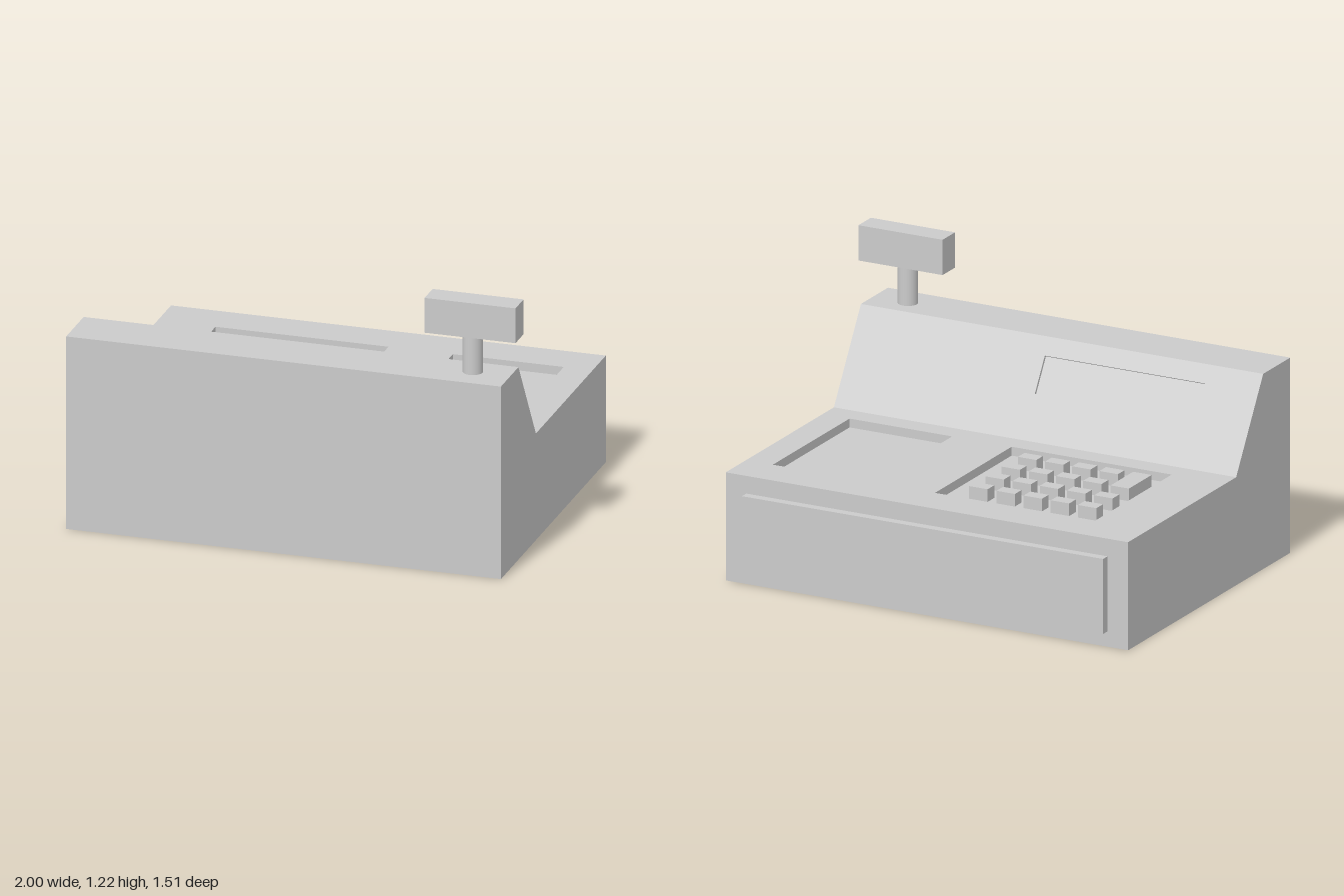
import * as THREE from 'three';
import { mergeGeometries } from 'three/addons/utils/BufferGeometryUtils.js';

const material = new THREE.MeshStandardMaterial({ color: 0xcccccc });
const V = (x, y, z) => new THREE.Vector3(x, y, z);
const X0 = -1, X1 = 0.96; // body sides
const DECK = 0.49, RECESS = 0.04;

function addMesh(parent, name, geometry) {
  const mesh = new THREE.Mesh(geometry, material);
  mesh.name = name;
  parent.add(mesh);
  return mesh;
}

// Box given by its limits on each axis
function addBox(parent, name, [x0, x1], [y0, y1], [z0, z1]) {
  const mesh = addMesh(parent, name, new THREE.BoxGeometry(x1 - x0, y1 - y0, z1 - z0));
  mesh.position.set((x0 + x1) / 2, (y0 + y1) / 2, (z0 + z1) / 2);
}

function rectangle(Type, x0, x1, u0, u1) {
  return new Type([[x0, u0], [x1, u0], [x1, u1], [x0, u1]].map(p => new THREE.Vector2(...p)));
}

// Inward-facing walls and floor of a recess, open towards +z
function recess({ x: [x0, x1], u: [u0, u1], depth }) {
  const box = new THREE.BoxGeometry(x1 - x0, u1 - u0, depth);
  const index = [...box.index.array];
  index.splice(24, 6); // open side
  box.setIndex(index.reverse());
  return box.translate((x0 + x1) / 2, (u0 + u1) / 2, -depth / 2);
}

// Flat panel swept across the body width between two profile points
function panel([za, ya], [zb, yb], holes = []) {
  const u = V(0, yb - ya, zb - za);
  const length = u.length();
  u.normalize();
  const right = V(1, 0, 0);
  const shape = rectangle(THREE.Shape, X0, X1, 0, length);
  for (const h of holes) shape.holes.push(rectangle(THREE.Path, ...h.x, ...h.u));
  const place = new THREE.Matrix4()
    .makeBasis(right, u, right.clone().cross(u))
    .setPosition(0, ya, za);
  return [new THREE.ShapeGeometry(shape), ...holes.map(recess)].map(g => g.applyMatrix4(place));
}

function bodyGeometry() {
  // Side profile as [z, y]
  const profile = [[0.755, 0], [0.755, 0.885], [0.51, 0.885], [0.265, DECK], [-0.715, DECK], [-0.715, 0]];
  const holes = {
    2: [{ x: [-0.74, 0.04], u: [0.085, 0.256], depth: 0.012 }], // screen
    3: [
      { x: [-0.74, 0.04], u: [0.1, 0.795], depth: RECESS }, // keypad well
      { x: [0.33, 0.83], u: [0.1, 0.795], depth: RECESS }, // tray
    ],
  };
  const parts = profile.flatMap((p, i) => panel(p, profile[(i + 1) % profile.length], holes[i]));
  // Side walls
  for (const [s, x] of [[1, X0], [-1, X1]]) {
    const side = new THREE.ShapeGeometry(new THREE.Shape(profile.map(([z, y]) => new THREE.Vector2(s * z, y))));
    side.applyMatrix4(new THREE.Matrix4().makeBasis(V(0, 0, s), V(0, 1, 0), V(-s, 0, 0)).setPosition(x, 0, 0));
    parts.push(side);
  }
  const merged = mergeGeometries(parts.map(g => g.toNonIndexed()));
  merged.computeVertexNormals();
  return merged;
}

export function createModel() {
  const model = new THREE.Group();
  model.name = 'cashRegister';

  addMesh(model, 'body', bodyGeometry());
  addBox(model, 'drawer', [-0.9, 0.86], [0.07, 0.41], [-0.755, -0.715]);

  // Keys, with one double-height key in the first column
  const keypad = new THREE.Group();
  keypad.name = 'keypad';
  model.add(keypad);
  const keyHeight = [DECK - RECESS, 0.507];
  for (let col = 0; col < 5; col++) {
    const x = -0.69 + col * 0.1325;
    for (let row = 0; row < 4; row++) {
      if (col === 0 && row > 1) continue;
      const z = -0.425 + row * 0.147;
      addBox(keypad, 'key', [x, x + 0.09], keyHeight, [z, z + 0.06]);
    }
  }
  addBox(keypad, 'tallKey', [-0.69, -0.6], keyHeight, [-0.13, 0.076]);

  // Customer display on its pole
  const pole = addMesh(model, 'displayPole', new THREE.CylinderGeometry(0.044, 0.044, 0.175, 32));
  pole.position.set(0.79, 0.9725, 0.62);
  addBox(model, 'customerDisplay', [0.59, 1], [1.06, 1.22], [0.562, 0.675]);

  return model;
}
